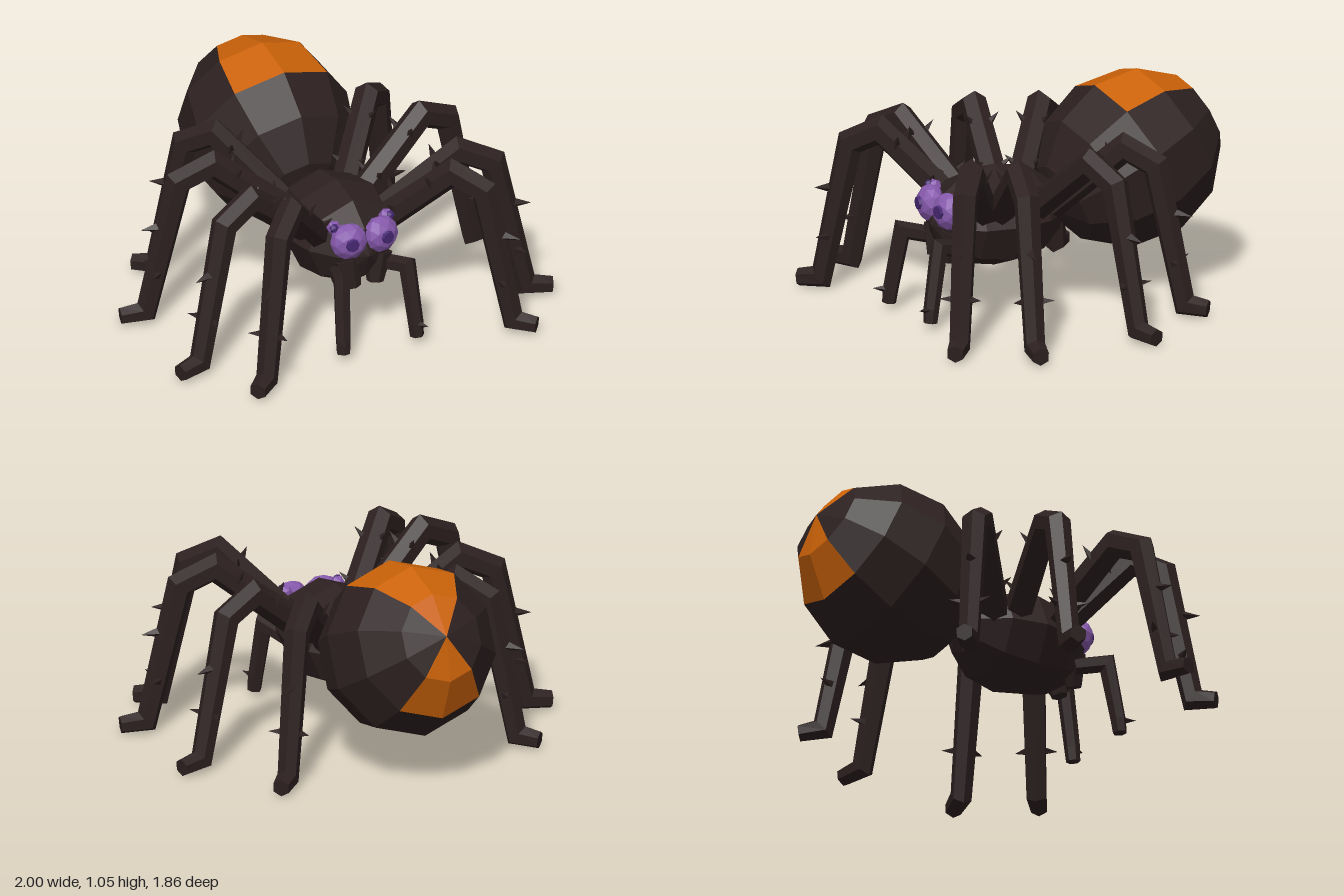
import * as THREE from 'three';

const flat = (name, color) => {
  const m = new THREE.MeshStandardMaterial({ color, flatShading: true });
  m.name = name;
  return m;
};

// Six-sided tube through points [x, y, radius] in the xy plane, ridge upwards, with mitred bends
function limbGeometry(path, sides = 6) {
  const pts = path.map(([x, y]) => new THREE.Vector2(x, y));
  const pos = [], index = [];
  const last = path.length - 1;
  pts.forEach((p, j) => {
    const a = pts[Math.max(j - 1, 0)], b = pts[Math.min(j + 1, last)];
    const t0 = (j > 0 ? p.clone().sub(a) : b.clone().sub(p)).normalize();
    const t1 = (j < last ? b.clone().sub(p) : t0.clone()).normalize();
    const t = t0.clone().add(t1).normalize();
    const stretch = 1 / Math.max(0.6, t.dot(t0));
    for (let i = 0; i < sides; i++) {
      const ang = (i / sides) * Math.PI * 2, r = path[j][2];
      const n = Math.cos(ang) * r * stretch;
      pos.push(p.x - t.y * n, p.y + t.x * n, Math.sin(ang) * r);
    }
  });
  for (let j = 0; j < last; j++) {
    for (let i = 0; i < sides; i++) {
      const k = (i + 1) % sides;
      const a = j * sides + i, b = j * sides + k;
      index.push(a, b, b + sides, a, b + sides, a + sides);
    }
  }
  for (let i = 1; i < sides - 1; i++) {
    const e = last * sides;
    index.push(0, i + 1, i, e, e + i, e + i + 1);
  }
  const g = new THREE.BufferGeometry();
  g.setAttribute('position', new THREE.Float32BufferAttribute(pos, 3));
  g.setIndex(index);
  const out = g.toNonIndexed();
  out.computeVertexNormals();
  return out;
}

export function createModel() {
  const model = new THREE.Group();
  model.name = 'spider';
  const shell = flat('dark brown shell', 0x2d2020);
  const orange = flat('orange marking', 0xcb6208);
  const violet = flat('violet eye', 0x8659ac);
  const pupil = flat('deep violet pupil', 0x472873);

  const add = (parent, name, geo, mat, p = [0, 0, 0], s = [1, 1, 1]) => {
    const m = new THREE.Mesh(geo, mat);
    m.name = name;
    m.position.set(...p);
    m.scale.set(...s);
    parent.add(m);
    return m;
  };

  // Abdomen: faceted ellipsoid tilted backwards, with an hourglass of orange facets
  const cols = 10, rows = 6;
  const belly = new THREE.SphereGeometry(1, cols, rows, Math.PI / 2);
  let start = 0;
  for (let row = 0; row < rows; row++) {
    for (let col = 0; col < cols; col++) {
      const count = row === 0 || row === rows - 1 ? 3 : 6;
      const upper = (col === 0 || col === 9) && row < 3;
      const lower = (col === 4 || col === 5) && row < 2;
      belly.addGroup(start, count, upper || lower ? 1 : 0);
      start += count;
    }
  }
  const abdomen = add(model, 'abdomen', belly, [shell, orange], [0, 0.622, -0.485], [0.417, 0.458, 0.425]);
  abdomen.rotation.x = -64 * Math.PI / 180;

  // Head and chest in one faceted body
  const chest = new THREE.SphereGeometry(1, 8, 6, Math.PI / 2);
  chest.rotateX(Math.PI / 2);
  add(model, 'chest', chest, shell, [0, 0.45, 0.25], [0.27, 0.25, 0.35]);

  // Four-sided spike pointing along a direction
  const spikeGeo = new THREE.ConeGeometry(0.025, 0.085, 4);
  spikeGeo.translate(0, 0.025, 0);
  const up = new THREE.Vector3(0, 1, 0);
  const spike = (parent, p, d) => {
    const m = add(parent, 'spike', spikeGeo, shell, p);
    m.quaternion.setFromUnitVectors(up, new THREE.Vector3(...d).normalize());
  };

  // Legs: [root x, root z, tip x, tip z], front to back
  const legs = [
    [0.12, 0.36, 0.74, 0.895],
    [0.12, 0.31, 0.985, 0.567],
    [0.12, 0.15, 0.985, -0.067],
    [0.12, 0.06, 0.69, -0.52],
  ];
  for (const side of [1, -1]) {
    const word = side > 0 ? 'left' : 'right';

    legs.forEach(([x0, z0, x1, z1], i) => {
      const leg = new THREE.Group();
      leg.name = `${word}Leg${i + 1}`;
      leg.position.set(side * x0, 0, z0);
      leg.rotation.y = Math.atan2(-(z1 - z0), side * (x1 - x0));
      model.add(leg);
      const L = Math.hypot(x1 - x0, z1 - z0);
      add(leg, 'legTube', limbGeometry([
        [0, 0.46, 0.07], [0.5 * L, 0.812, 0.064], [0.685 * L, 0.735, 0.063],
        [0.86 * L, 0.056, 0.052], [L, 0.044, 0.043],
      ]), shell);
      // Shin spikes
      spike(leg, [0.755 * L + 0.055, 0.5, 0], [1, -0.1, 0]);
      for (const s of [1, -1]) {
        spike(leg, [0.81 * L, 0.27, s * 0.045], [0.6, 0.15, s]);
        // Thigh spikes
        spike(leg, [0.16 * L, 0.6, s * 0.045], [-0.3, 0.7, s * 0.7]);
        spike(leg, [0.38 * L, 0.76, s * 0.045], [-0.3, 0.8, s * 0.6]);
      }
    });

    // Feeler in front of the mouth
    const palp = new THREE.Group();
    palp.name = `${word}Feeler`;
    palp.position.set(side * 0.12, 0, 0.5);
    palp.rotation.y = Math.atan2(-0.23, side * 0.08);
    model.add(palp);
    add(palp, 'feelerTube', limbGeometry([
      [0, 0.35, 0.042], [0.165, 0.388, 0.042], [0.22, 0.1, 0.038], [0.228, 0.032, 0.034],
    ]), shell);
    spike(palp, [0.24, 0.1, 0], [1, 0.1, 0]);

    // Jaw
    const jaw = add(model, `${word}Jaw`, new THREE.CylinderGeometry(0.075, 0.04, 0.15, 6),
      shell, [side * 0.07, 0.35, 0.53]);
    jaw.rotation.x = -0.2;
    jaw.rotation.z = side * -0.15;

    // Main eye with a raised pupil, and a small eye above it
    const eye = new THREE.Group();
    eye.name = `${word}Eye`;
    eye.position.set(side * 0.084, 0.528, 0.55);
    eye.rotation.y = side * 0.15;
    model.add(eye);
    add(eye, 'eyeball', new THREE.IcosahedronGeometry(1, 1), violet, [0, 0, 0], [0.092, 0.093, 0.068]);
    const disc = add(eye, 'pupil', new THREE.CylinderGeometry(0.03, 0.042, 0.04, 8), pupil, [0, 0.008, 0.052]);
    disc.rotation.x = Math.PI / 2;
    add(model, `${word}SmallEye`, new THREE.IcosahedronGeometry(0.037, 0), violet, [side * 0.138, 0.59, 0.5]);
    add(model, `${word}SmallPupil`, new THREE.IcosahedronGeometry(0.024, 0), pupil, [side * 0.148, 0.6, 0.523]);
  }
  return model;
}
